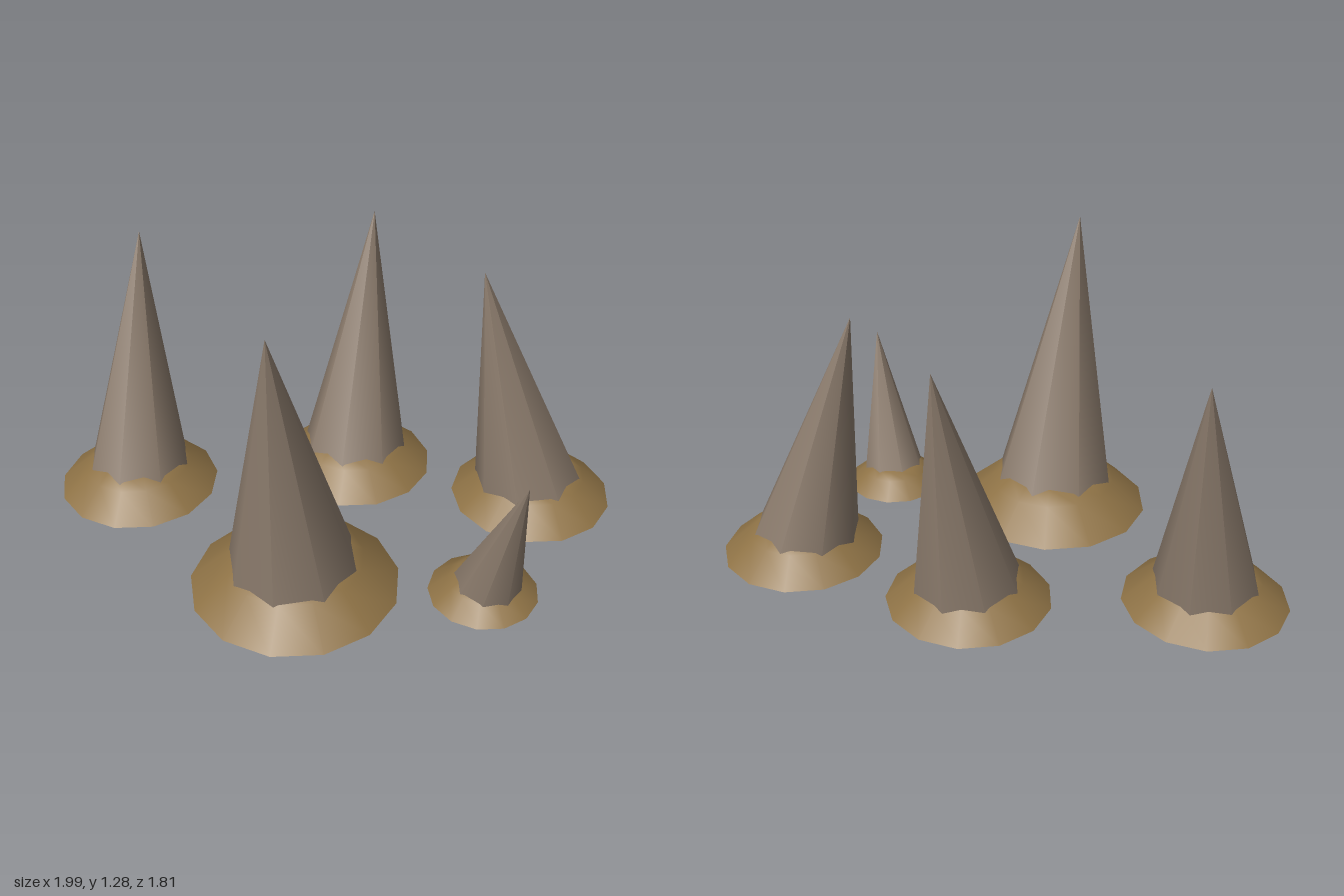
import * as THREE from 'three';

const spikeMaterial = new THREE.MeshStandardMaterial({ color: 0x8b7b6c });
spikeMaterial.name = 'weatheredWood';
const dirtMaterial = new THREE.MeshStandardMaterial({ color: 0x8f7346 });
dirtMaterial.name = 'dirt';

const MOUND_BASE = 0.072;
const MOUND_SIDES = 13;
const SPIKE_SIDES = 8;

// mound centre and radius, spike radius and base height, spike tip
const STAKES = [
  { x: -0.68, z: -0.583, mound: 0.322, spike: 0.23, y: 0.06, tip: [-0.505, 1.1, -0.77] },
  { x: 0.16, z: -0.248, mound: 0.322, spike: 0.235, y: 0.06, tip: [0.345, 1.13, -0.4] },
  { x: -0.42, z: 0.293, mound: 0.398, spike: 0.28, y: 0.052, tip: [-0.58, 1.28, 0.45] },
  { x: 0.67, z: 0.315, mound: 0.322, spike: 0.235, y: 0.057, tip: [0.455, 1.105, 0.195] },
  { x: 0.16, z: 0.698, mound: 0.208, spike: 0.147, y: 0.05, tip: [0.16, 0.7, 0.905] },
];

function lathe(points) {
  return new THREE.LatheGeometry(points.map(([r, y]) => new THREE.Vector2(r, y)), MOUND_SIDES);
}

// Low heap of earth with a flat closed underside
function createMound(radius) {
  const mound = new THREE.Group();
  mound.name = 'dirtMound';
  const slope = new THREE.Mesh(
    lathe([[radius, 0], [radius * 0.66, radius * 0.3], [radius * 0.5, radius * 0.42], [0, radius * 0.55]]),
    dirtMaterial
  );
  slope.name = 'moundSlope';
  const underside = new THREE.Mesh(lathe([[0, 0], [radius, 0]]), dirtMaterial);
  underside.name = 'moundUnderside';
  mound.add(slope, underside);
  mound.rotation.y = Math.PI;
  return mound;
}

// Cone standing on its base centre and leaning towards its tip
function createSpike(base, tip, radius) {
  const axis = tip.clone().sub(base);
  const length = axis.length();
  const geometry = new THREE.ConeGeometry(radius, length, SPIKE_SIDES);
  geometry.translate(0, length / 2, 0);
  const spike = new THREE.Mesh(geometry, spikeMaterial);
  spike.name = 'spike';
  spike.position.copy(base);
  spike.quaternion.setFromUnitVectors(new THREE.Vector3(0, 1, 0), axis.normalize());
  return spike;
}

export function createModel() {
  const model = new THREE.Group();
  model.name = 'groundSpikes';
  for (const s of STAKES) {
    const stake = new THREE.Group();
    stake.name = 'stake';
    const mound = createMound(s.mound);
    mound.position.set(s.x, MOUND_BASE, s.z);
    const spike = createSpike(new THREE.Vector3(s.x, s.y, s.z), new THREE.Vector3(...s.tip), s.spike);
    stake.add(mound, spike);
    model.add(stake);
  }
  return model;
}
